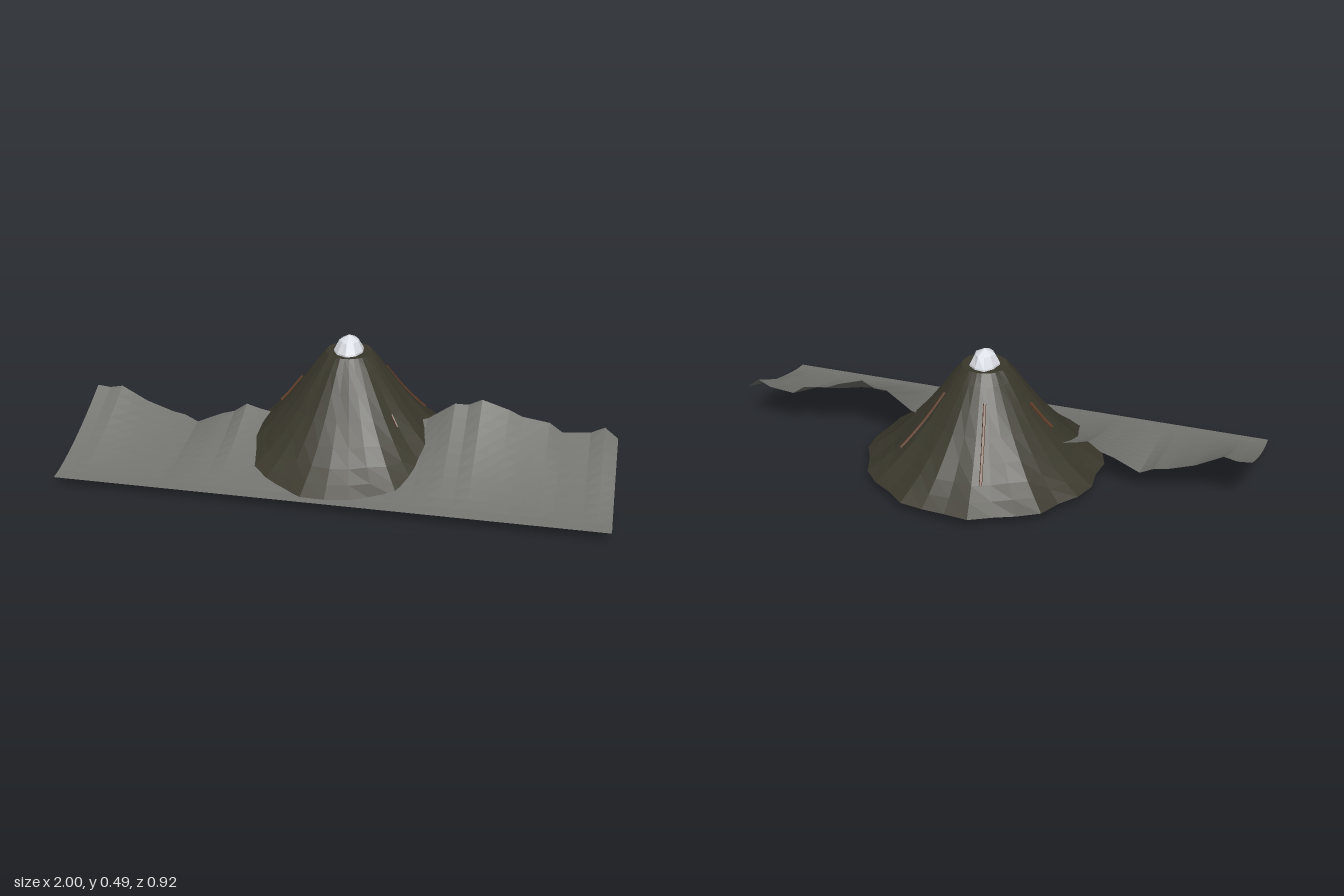
import * as THREE from 'three';

function mat(name, color, side = THREE.FrontSide) {
  const m = new THREE.MeshStandardMaterial({ color, flatShading: true, side });
  m.name = name;
  return m;
}

// Slope of the mountain as [radius, height]
const SLOPE = [[0.447, 0.04], [0.395, 0.076], [0.345, 0.115], [0.29, 0.17], [0.228, 0.24],
  [0.168, 0.32], [0.118, 0.39], [0.085, 0.43]];
const CENTRE_Z = -0.015;

// Skyline of the foothills as [x, height]
const SKYLINE = [[-1, 0.2], [-0.95, 0.195], [-0.9, 0.205], [-0.8, 0.15], [-0.7, 0.115], [-0.65, 0.105],
  [-0.6, 0.08], [-0.5, 0.125], [-0.45, 0.14], [-0.4, 0.175], [-0.35, 0.16], [-0.3, 0.15], [0.2, 0.15],
  [0.3, 0.18], [0.4, 0.25], [0.45, 0.25], [0.5, 0.275], [0.6, 0.243], [0.65, 0.22], [0.75, 0.205],
  [0.8, 0.17], [0.85, 0.175], [0.9, 0.18], [0.95, 0.205], [1, 0.165]];

// Linear lookup in a table sorted by its first column
function lookup(table, v) {
  for (let i = 1; i < table.length; i++) {
    const [a, ya] = table[i - 1], [b, yb] = table[i];
    if (v <= b) return ya + (yb - ya) * (v - a) / (b - a);
  }
  return table[table.length - 1][1];
}

// Closed faceted body of revolution with wobbling radius
function craggy(profile, sides, wobble) {
  const geo = new THREE.LatheGeometry(profile.map(([r, y]) => new THREE.Vector2(r, y)), sides);
  const p = geo.attributes.position, rows = profile.length;
  for (let i = 0; i < p.count; i++) {
    const s = Math.floor(i / rows) % sides, row = i % rows;
    const k = 1 + wobble(s, row);
    p.setX(i, p.getX(i) * k);
    p.setZ(i, p.getZ(i) * k);
  }
  return geo;
}

export function createModel() {
  const group = new THREE.Group();
  const darkRock = mat('darkRock', 0x3a382c);
  const greyStone = mat('greyStone', 0x747470, THREE.DoubleSide);
  const snow = mat('snow', 0xe2e5ec);
  const earth = mat('earth', 0x8f6e4c);
  const gully = mat('gullyBrown', 0x5e3c28);

  const add = (name, geo, material, x = 0, y = 0, z = 0) => {
    const mesh = new THREE.Mesh(geo, material);
    mesh.name = name;
    mesh.position.set(x, y, z);
    group.add(mesh);
    return mesh;
  };

  // Mountain with a flat underside and a small flat top
  add('mountain', craggy([[0, 0.04], ...SLOPE, [0, 0.425]], 32,
    (s, row) => 0.014 * Math.sin(s * 2.3) + 0.012 * Math.sin(s * 4.1 + row * 0.7)),
  darkRock, 0, 0, CENTRE_Z);

  // Snow cap
  const cap = add('snowCap', craggy([[0.056, 0.415], [0.053, 0.435], [0.035, 0.472], [0, 0.493]], 9,
    (s, row) => 0.06 * Math.sin(s * 2.7 + row)), snow, 0, 0, -0.016);
  cap.scale.z = 1.25;

  // Foothill sheet rising from the front edge to the skyline
  const hills = new THREE.PlaneGeometry(2, 0.475, 40, 10).rotateX(-Math.PI / 2);
  hills.translate(0, 0, 0.2225);
  const p = hills.attributes.position;
  for (let i = 0; i < p.count; i++) {
    const t = Math.max(0, (0.46 - p.getZ(i)) / 0.475);
    p.setY(i, 0.04 + (lookup(SKYLINE, p.getX(i)) - 0.04) * Math.pow(t, 1.45));
  }
  add('foothills', hills, greyStone);

  // Rough earth mass underneath
  const root = add('earthBase', craggy([[0, 0.002], [0.115, 0.004], [0.142, 0.018], [0.15, 0.045], [0, 0.05]], 11,
    (s, row) => 0.07 * Math.sin(s * 2.1 + row * 1.3)), earth, 0.015);
  root.scale.x = 1.5;

  // Flat stone slabs radiating on the underside
  for (let i = 0; i < 12; i++) {
    const a = i / 12 * Math.PI * 2 + 0.12 * Math.sin(i * 3.1);
    const length = 0.13 + 0.035 * Math.sin(i * 2.4);
    const slab = new THREE.BoxGeometry(length, 0.004, 0.05 + 0.018 * Math.sin(i * 1.7));
    slab.translate(0.15 + length / 2, 0, 0);
    add('undersideSlab', slab, greyStone, 0, 0.039, CENTRE_Z).rotation.y = a;
  }

  // Brown gullies lying on the slopes, from one ground point to another
  const byRadius = [...SLOPE].reverse();
  [[0.12, -0.115, 0.26, -0.215, 0.006], [-0.05, -0.16, -0.1, -0.35, 0.006],
    [-0.18, -0.03, -0.26, -0.01, 0.007], [0.185, 0.115, 0.21, 0.137, 0.004]].forEach(([x0, z0, x1, z1, r]) => {
    const pts = [];
    for (let i = 0; i <= 6; i++) {
      const x = x0 + (x1 - x0) * i / 6, z = z0 + (z1 - z0) * i / 6;
      pts.push(new THREE.Vector3(x, lookup(byRadius, Math.hypot(x, z - CENTRE_Z)) + 0.002, z));
    }
    add('gully', new THREE.TubeGeometry(new THREE.CatmullRomCurve3(pts), 10, r, 5), gully);
  });

  return group;
}
